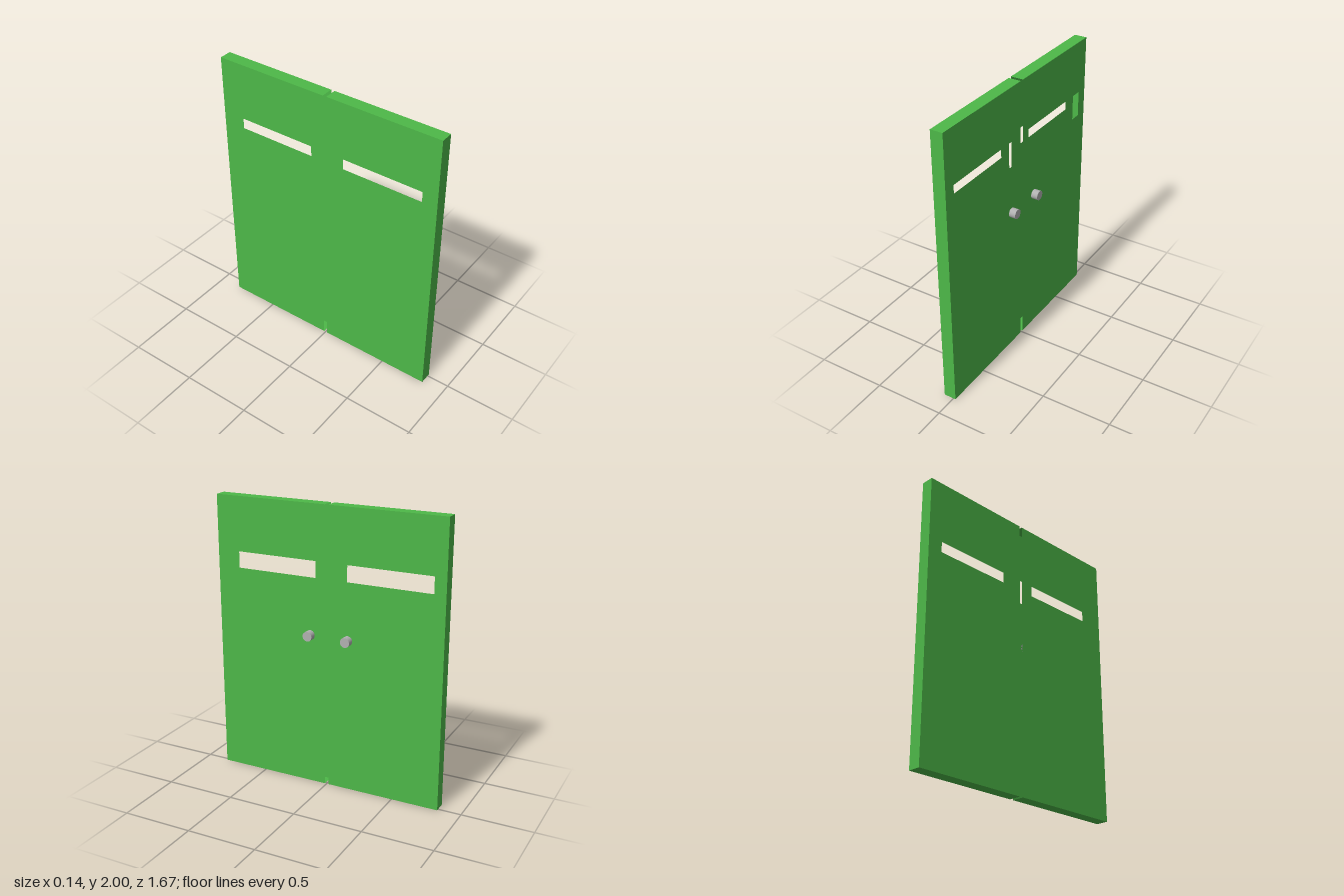
import * as THREE from 'three';

const FRONT = 0.017, BACK = -0.071, HEIGHT = 2;
const INNER = 0.013, OUTER = 0.837; // distances of the leaf edges from the centre line
const DEPTH = FRONT - BACK, WIDTH = OUTER - INNER;
const MID_X = (FRONT + BACK) / 2, MID_Z = (INNER + OUTER) / 2;

const green = new THREE.MeshStandardMaterial({ color: 0x4db848, side: THREE.DoubleSide });
const grey = new THREE.MeshStandardMaterial({ color: 0xb0b0b0 });

function addMesh(parent, name, geometry, material, x, y, z) {
  const mesh = new THREE.Mesh(geometry, material);
  mesh.name = name;
  mesh.position.set(x, y, z);
  parent.add(mesh);
}

// Traces a rectangle; a and b are distances from the centre line on the given side
function rectangle(path, side, a, b, y0, y1) {
  path.moveTo(-side * a, y0);
  path.lineTo(-side * b, y0);
  path.lineTo(-side * b, y1);
  path.lineTo(-side * a, y1);
  path.closePath();
  return path;
}

// Thin upright sheet facing +x with a window cut out
function sheet(side, a, b, y0, y1) {
  const shape = rectangle(new THREE.Shape(), side, INNER, OUTER, 0, HEIGHT);
  shape.holes.push(rectangle(new THREE.Path(), side, a, b, y0, y1));
  return new THREE.ShapeGeometry(shape).rotateY(Math.PI / 2);
}

// Hollow sheet-metal leaf, open along its inner edge
function createLeaf(side, name, knobZ) {
  const leaf = new THREE.Group();
  leaf.name = name;

  // Front opening is larger than the back one
  addMesh(leaf, 'frontSheet', sheet(side, 0.082, 0.755, 1.444, 1.624), green, FRONT, 0, 0);
  addMesh(leaf, 'backSheet', sheet(side, 0.108, 0.729, 1.476, 1.593).scale(1, 1, 1), green, BACK, 0, 0);

  // Closing strips
  const cap = () => new THREE.PlaneGeometry(DEPTH, WIDTH).rotateX(-Math.PI / 2);
  addMesh(leaf, 'topStrip', cap(), green, MID_X, HEIGHT, side * MID_Z);
  addMesh(leaf, 'bottomStrip', cap().rotateX(Math.PI), green, MID_X, 0, side * MID_Z);
  const edge = new THREE.PlaneGeometry(DEPTH, HEIGHT);
  if (side < 0) edge.rotateY(Math.PI);
  addMesh(leaf, 'outerEdge', edge, green, MID_X, HEIGHT / 2, side * OUTER);

  // Round knob
  const knob = new THREE.CylinderGeometry(0.034, 0.034, 0.048, 32).rotateZ(-Math.PI / 2);
  addMesh(leaf, 'knob', knob, grey, FRONT + 0.024, 1.1, knobZ);
  return leaf;
}

export function createModel() {
  const model = new THREE.Group();
  model.name = 'doubleDoor';
  model.add(createLeaf(1, 'frontLeaf', 0.124), createLeaf(-1, 'rearLeaf', -0.157));
  return model;
}
